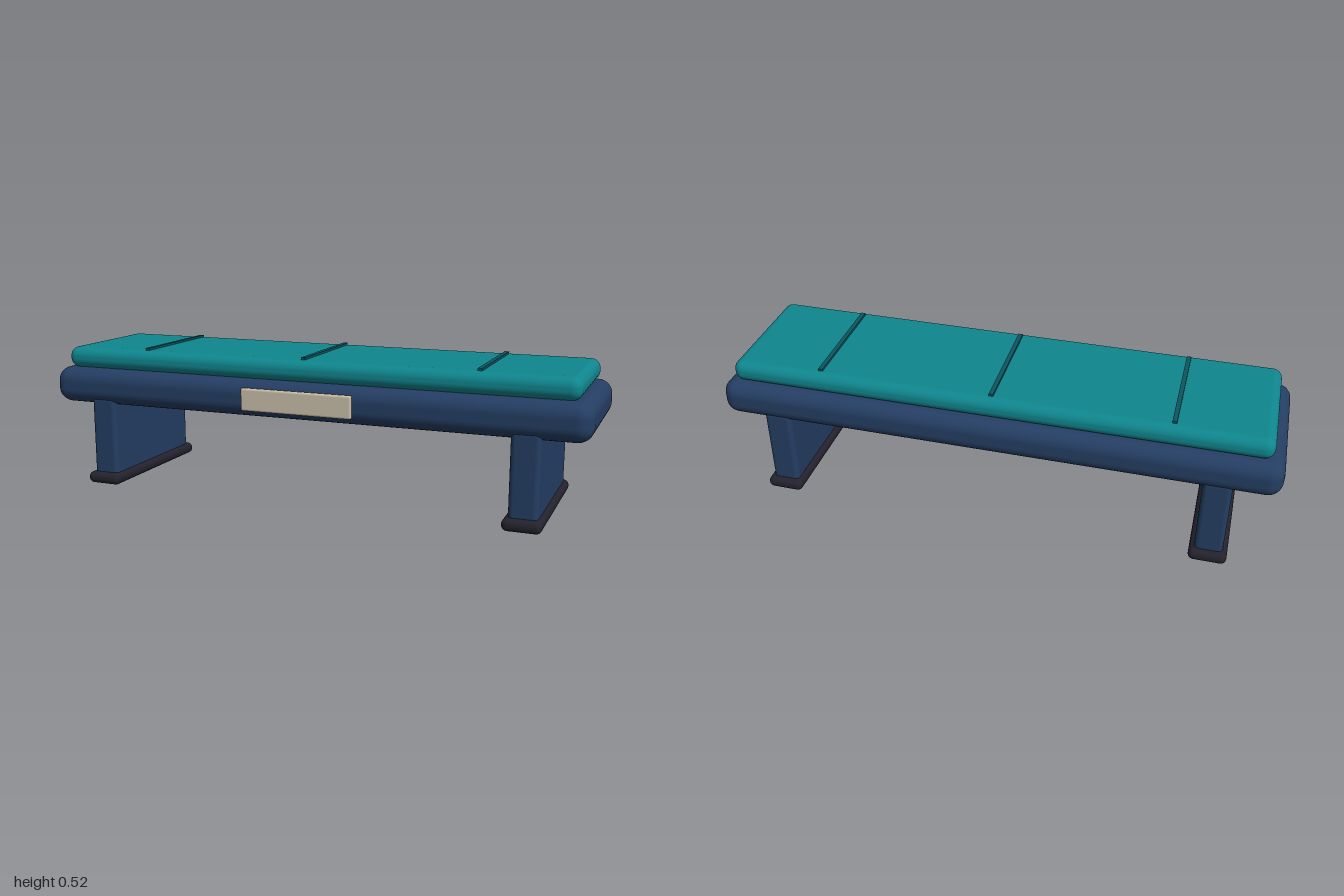
import * as THREE from 'three';
import { RoundedBoxGeometry } from 'three/addons/geometries/RoundedBoxGeometry.js';

function material(name, color) {
  const m = new THREE.MeshStandardMaterial({ color });
  m.name = name;
  return m;
}

export function createModel() {
  const group = new THREE.Group();
  group.name = 'bench';

  const navy = material('navy', 0x243e63);
  const teal = material('teal', 0x0f868e);
  const darkTeal = material('dark teal', 0x0c5560);
  const charcoal = material('charcoal', 0x23222d);
  const cream = material('cream', 0xcabea9);

  // Rounded block given by its size, bottom height and centre
  function block(name, mat, [w, h, d], [x, bottom, z], radius, segments = 4) {
    const mesh = new THREE.Mesh(new RoundedBoxGeometry(w, h, d, segments, radius), mat);
    mesh.name = name;
    mesh.position.set(x, bottom + h / 2, z);
    group.add(mesh);
  }

  // Seat frame and cushion
  block('seatFrame', navy, [2, 0.133, 0.553], [0, 0.302, 0.001], 0.052);
  block('cushion', teal, [1.914, 0.078, 0.484], [0, 0.432, 0.001], 0.035);

  // Seams across the cushion
  for (const x of [-0.625, 0, 0.625]) {
    const seam = new THREE.Mesh(new THREE.BoxGeometry(0.016, 0.014, 0.417), darkTeal);
    seam.name = 'cushionSeam';
    seam.position.set(x, 0.511, 0.001);
    group.add(seam);
  }

  // Panel legs on wide feet
  for (const side of [-1, 1]) {
    block('leg', navy, [0.1, 0.315, 0.533], [side * 0.792, 0.018, 0], 0.018);
    block('foot', charcoal, [0.133, 0.043, 0.583], [side * 0.792, 0, 0.001], 0.02);
  }

  // Blank plate on the front rail
  block('frontPlate', cream, [0.413, 0.082, 0.018], [0, 0.328, 0.281], 0.008, 3);

  return group;
}
